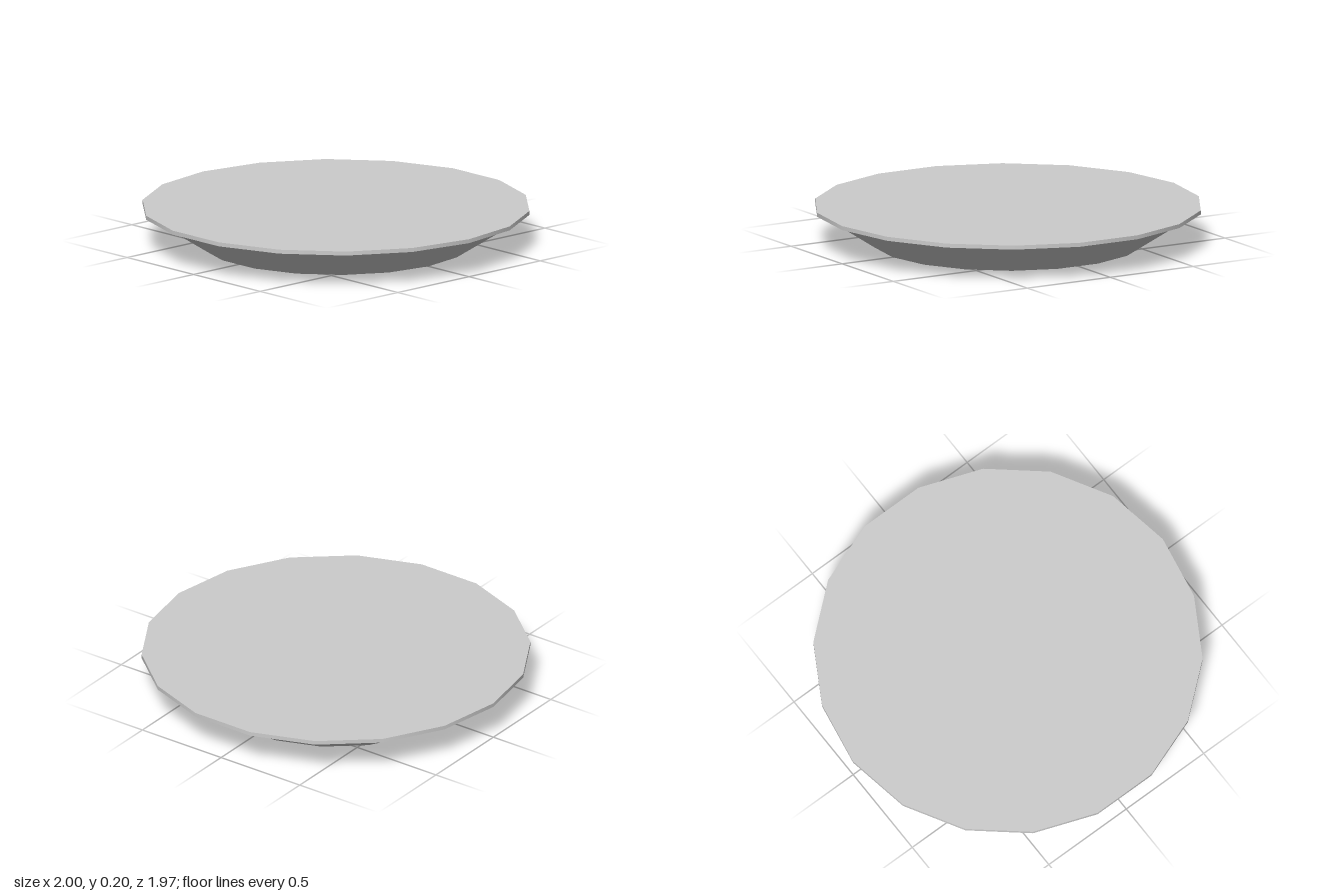
import * as THREE from 'three';

const SIDES = 18;

export function createModel() {
  const model = new THREE.Group();
  const material = new THREE.MeshStandardMaterial({ color: 0xcccccc });

  // Many-sided disc or cone between two heights, with a corner on the x axis
  function addRound(name, topRadius, bottomRadius, bottomY, topY) {
    const height = topY - bottomY;
    const geometry = new THREE.CylinderGeometry(
      topRadius, bottomRadius, height, SIDES, 1, false, Math.PI / 2);
    const mesh = new THREE.Mesh(geometry, material);
    mesh.name = name;
    mesh.position.y = bottomY + height / 2;
    model.add(mesh);
  }

  // Flaring bowl with a flat base
  addRound('body', 0.97, 0.695, 0, 0.177);
  // Thin overhanging rim with a flat top
  addRound('rim', 1, 1, 0.177, 0.198);

  return model;
}
